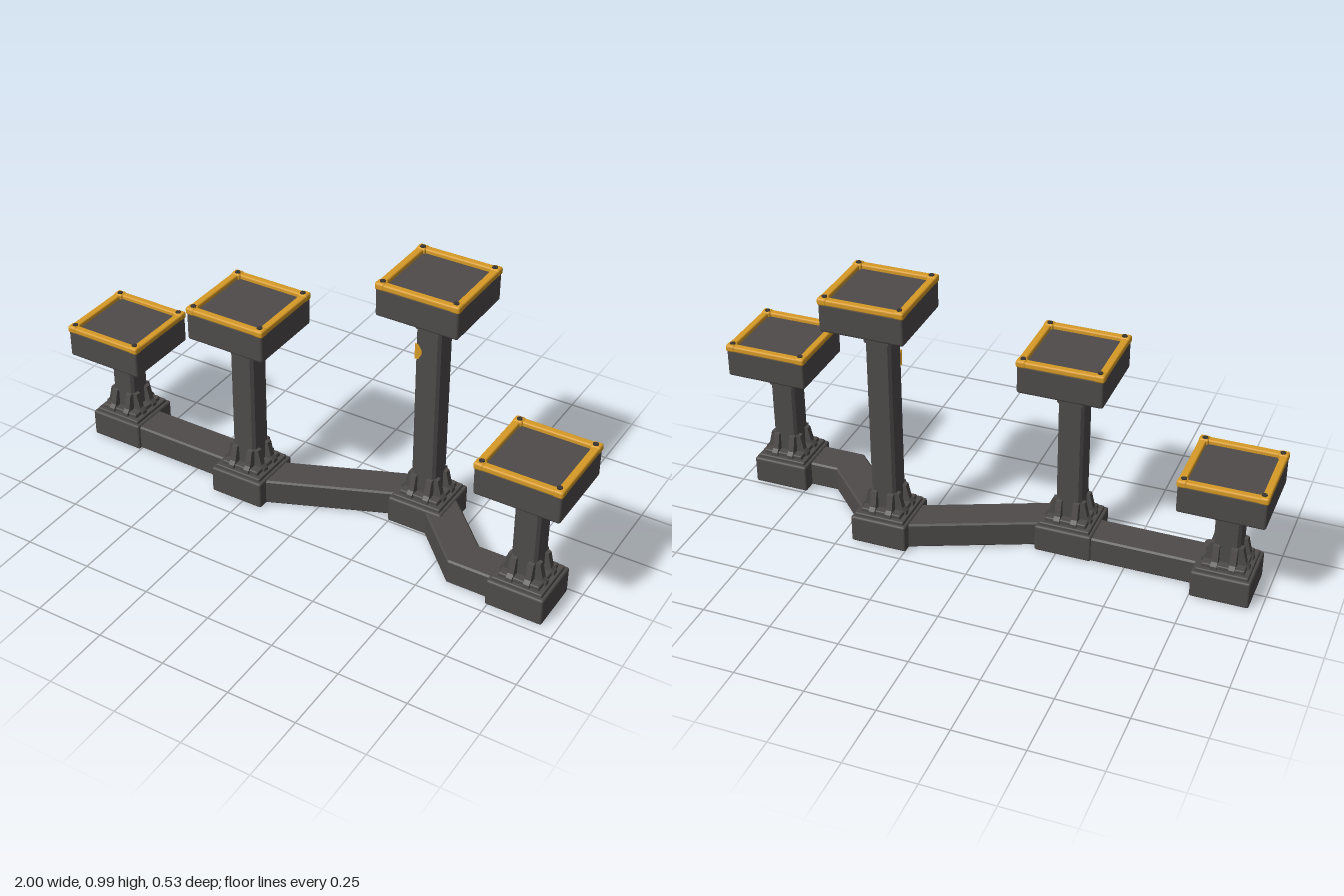
import * as THREE from 'three';
import { RoundedBoxGeometry } from 'three/addons/geometries/RoundedBoxGeometry.js';

const stone = new THREE.MeshStandardMaterial({ color: 0x4e4b4a });
stone.name = 'dark stone';
const gold = new THREE.MeshStandardMaterial({ color: 0xd89b26 });
gold.name = 'gold trim';
const iron = new THREE.MeshStandardMaterial({ color: 0x383533 });
iron.name = 'dark iron';

function add(parent, name, geometry, material, x = 0, y = 0, z = 0) {
  const mesh = new THREE.Mesh(geometry, material);
  mesh.name = name;
  mesh.position.set(x, y, z);
  parent.add(mesh);
  return mesh;
}

// Bevelled box standing on y0
function block(parent, name, w, y0, y1, d, bevel, material, x = 0, z = 0) {
  return add(parent, name, new RoundedBoxGeometry(w, y1 - y0, d, 2, bevel), material, x, (y0 + y1) / 2, z);
}

// Square post with chamfered corners
function post(parent, name, width, y0, y1, c) {
  const h = width / 2;
  const shape = new THREE.Shape([
    [h, h - c], [h - c, h], [c - h, h], [-h, h - c],
    [-h, c - h], [c - h, -h], [h - c, -h], [h, c - h],
  ].map(([x, y]) => new THREE.Vector2(x, y)));
  const g = new THREE.ExtrudeGeometry(shape, { depth: y1 - y0, bevelEnabled: false });
  g.rotateX(-Math.PI / 2);
  return add(parent, name, g, stone, 0, y0, 0);
}

// Sloping buttress profile, outward along +x
function buttressGeometry() {
  const shape = new THREE.Shape([
    [0.03, 0.1], [0.085, 0.1], [0.083, 0.128], [0.071, 0.14], [0.058, 0.195], [0.03, 0.2],
  ].map(([x, y]) => new THREE.Vector2(x, y)));
  const g = new THREE.ExtrudeGeometry(shape, { depth: 0.022, bevelEnabled: false });
  g.translate(0, 0, -0.011);
  return g;
}

// One pillar: foot, shaft, buttresses, collar and trimmed platform
function makeTower(name, x, z, top, shift) {
  const tower = new THREE.Group();
  tower.name = name;
  tower.position.set(x, 0, z);

  block(tower, 'footBlock', 0.208, 0, 0.103, 0.205, 0.008, stone);
  block(tower, 'lowerStep', 0.185, 0.09, 0.115, 0.18, 0.005, stone);
  block(tower, 'upperStep', 0.15, 0.1, 0.13, 0.15, 0.005, stone);
  post(tower, 'shaft', 0.092, 0.1, top - 0.12, 0.01);
  post(tower, 'collar', 0.104, top - 0.195, top - 0.115, 0.01);

  const fin = buttressGeometry();
  for (let side = 0; side < 4; side++) {
    const pivot = new THREE.Group();
    pivot.name = 'buttressSide';
    pivot.rotation.y = side * Math.PI / 2;
    tower.add(pivot);
    for (const s of [-1, 1]) add(pivot, 'buttress', fin, stone, 0, 0, s * 0.031);
  }

  const platform = new THREE.Group();
  platform.name = 'platform';
  platform.position.x = shift;
  tower.add(platform);
  block(platform, 'platformBody', 0.302, top - 0.125, top - 0.018, 0.302, 0.009, stone);

  // Gold edging with corner caps and bolts
  for (const s of [-1, 1]) {
    block(platform, 'edgeTrim', 0.3, top - 0.025, top - 0.003, 0.027, 0.006, gold, 0, s * 0.139);
    block(platform, 'edgeTrim', 0.027, top - 0.025, top - 0.003, 0.3, 0.006, gold, s * 0.139, 0);
    for (const t of [-1, 1]) {
      block(platform, 'cornerCap', 0.036, top - 0.027, top, 0.036, 0.008, gold, s * 0.136, t * 0.136);
      add(platform, 'cornerBolt', new THREE.CylinderGeometry(0.01, 0.01, 0.006, 8), iron, s * 0.133, top, t * 0.133);
    }
  }
  return tower;
}

// Base beam following a ground path with mitred corners
function makeBeam(points, width) {
  const pts = points.map(([x, z]) => new THREE.Vector2(x, -z));
  const left = [], right = [];
  pts.forEach((p, i) => {
    const a = pts[Math.max(i - 1, 0)], b = pts[Math.min(i + 1, pts.length - 1)];
    const din = (i ? p.clone().sub(a) : b.clone().sub(p)).normalize();
    const dout = (i < pts.length - 1 ? b.clone().sub(p) : p.clone().sub(a)).normalize();
    const n = new THREE.Vector2(-din.y - dout.y, din.x + dout.x).normalize();
    const half = width / 2 / (n.x * -din.y + n.y * din.x);
    left.push(p.clone().addScaledVector(n, half));
    right.unshift(p.clone().addScaledVector(n, -half));
  });
  const g = new THREE.ExtrudeGeometry(new THREE.Shape([...left, ...right]), {
    depth: 0.084, bevelThickness: 0.006, bevelSize: 0.006, bevelOffset: -0.006, bevelSegments: 1,
  });
  g.rotateX(-Math.PI / 2);
  g.translate(0, 0.007, 0);
  return g;
}

export function createModel() {
  const model = new THREE.Group();
  model.name = 'steppedPillars';

  // Pillars: x, z, platform top, platform offset
  [
    ['shortPillar', -0.855, 0.012, 0.49, 0.007],
    ['tallPillar', -0.275, 0.073, 0.785, 0.008],
    ['tallestPillar', 0.35, -0.106, 0.985, 0.008],
    ['mediumPillar', 0.844, 0.112, 0.598, 0.003],
  ].forEach((p) => model.add(makeTower(...p)));

  // Connecting beams
  [
    [[-0.855, 0.04], [-0.24, 0.04]],
    [[-0.25, 0.102], [0.34, -0.148]],
    [[0.38, -0.11], [0.61, 0.122], [0.85, 0.122]],
  ].forEach((path) => add(model, 'baseBeam', makeBeam(path, 0.128), stone));

  // Painted mark on the front of the tallest shaft
  const mark = new THREE.Shape([
    [-0.012, -0.03], [0.003, -0.026], [0.013, -0.006], [0.013, 0.008], [0.002, 0.026], [-0.012, 0.03],
  ].map(([x, y]) => new THREE.Vector2(x, y)));
  add(model, 'shaftMark', new THREE.ExtrudeGeometry(mark, { depth: 0.004, bevelEnabled: false }),
    gold, 0.316, 0.7, -0.061);

  return model;
}
